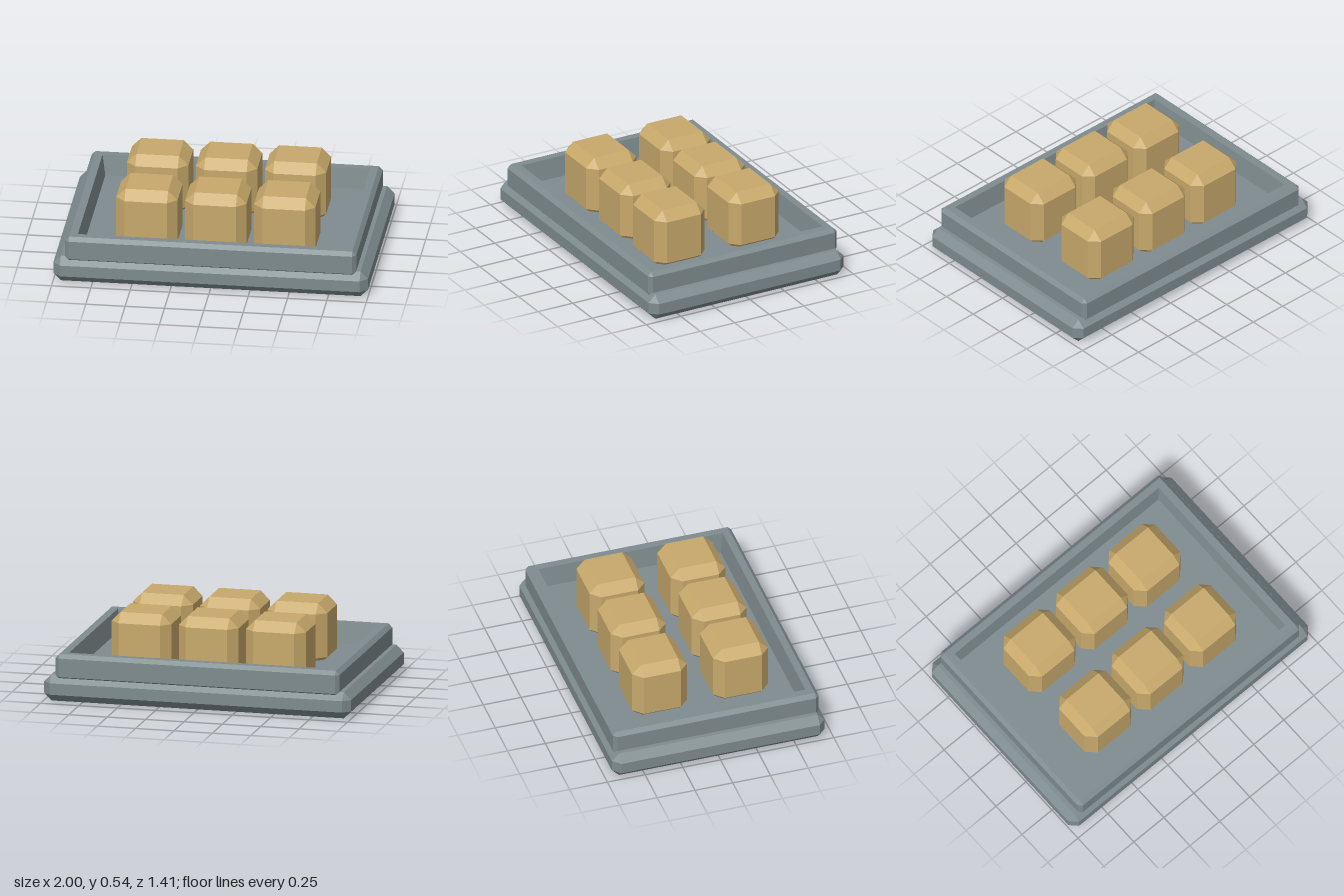
import * as THREE from 'three';

// One horizontal ring: a rectangle with half sizes w, d whose corners are cut by c
function ring([w, d, y, c]) {
  const half = [[w, d - c], [w - c, d], [c - w, d], [-w, d - c]];
  return [...half, ...half.map(([x, z]) => [-x, -z])]
    .map(([x, z]) => new THREE.Vector3(x, y, z));
}

// Skins a stack of rings, closing the first from below and the last from above
function loft(sections) {
  const rings = sections.map(ring);
  const points = [];
  const tri = (a, b, c) => {
    const area = b.clone().sub(a).cross(c.clone().sub(a)).length();
    if (area > 1e-8) points.push(a, b, c);
  };
  for (let r = 0; r + 1 < rings.length; r++) {
    for (let i = 0; i < 8; i++) {
      const j = (i + 1) % 8;
      const [lo, hi] = [rings[r], rings[r + 1]];
      tri(lo[i], hi[i], lo[j]);
      tri(lo[j], hi[i], hi[j]);
    }
  }
  const [first, last] = [rings[0], rings[rings.length - 1]];
  for (let i = 1; i < 7; i++) {
    tri(first[0], first[i], first[i + 1]);
    tri(last[0], last[i + 1], last[i]);
  }
  const geometry = new THREE.BufferGeometry().setFromPoints(points);
  geometry.computeVertexNormals();
  return geometry;
}

// Sections of a box with every edge chamfered by c
const chamferedBox = (w, d, y0, y1, c) => [
  [w - c, d - c, y0, 0],
  [w, d, y0 + c, c],
  [w, d, y1 - c, c],
  [w - c, d - c, y1, 0],
];

export function createModel() {
  const model = new THREE.Group();
  const stone = new THREE.MeshStandardMaterial({ color: 0x7f8c8f, flatShading: true });
  const tan = new THREE.MeshStandardMaterial({ color: 0xc8a96b, flatShading: true });

  const add = (name, geometry, material, x = 0, z = 0) => {
    const mesh = new THREE.Mesh(geometry, material);
    mesh.name = name;
    mesh.position.set(x, 0, z);
    model.add(mesh);
  };

  // Wide chamfered plinth
  add('base', loft(chamferedBox(1, 0.705, 0, 0.17, 0.048)), stone);

  // Tray on the plinth: chamfered outside, flat rim, recess with sloping walls
  add('tray', loft([
    ...chamferedBox(0.925, 0.682, 0.135, 0.305, 0.025),
    [0.85, 0.61, 0.305, 0],
    [0.83, 0.588, 0.172, 0],
  ]), stone);

  // Two rows of three chamfered blocks
  const block = loft(chamferedBox(0.195, 0.182, 0.13, 0.535, 0.06));
  for (const z of [-0.268, 0.268]) {
    for (const x of [-0.44, -0.002, 0.436]) add('block', block, tan, x, z);
  }
  return model;
}
